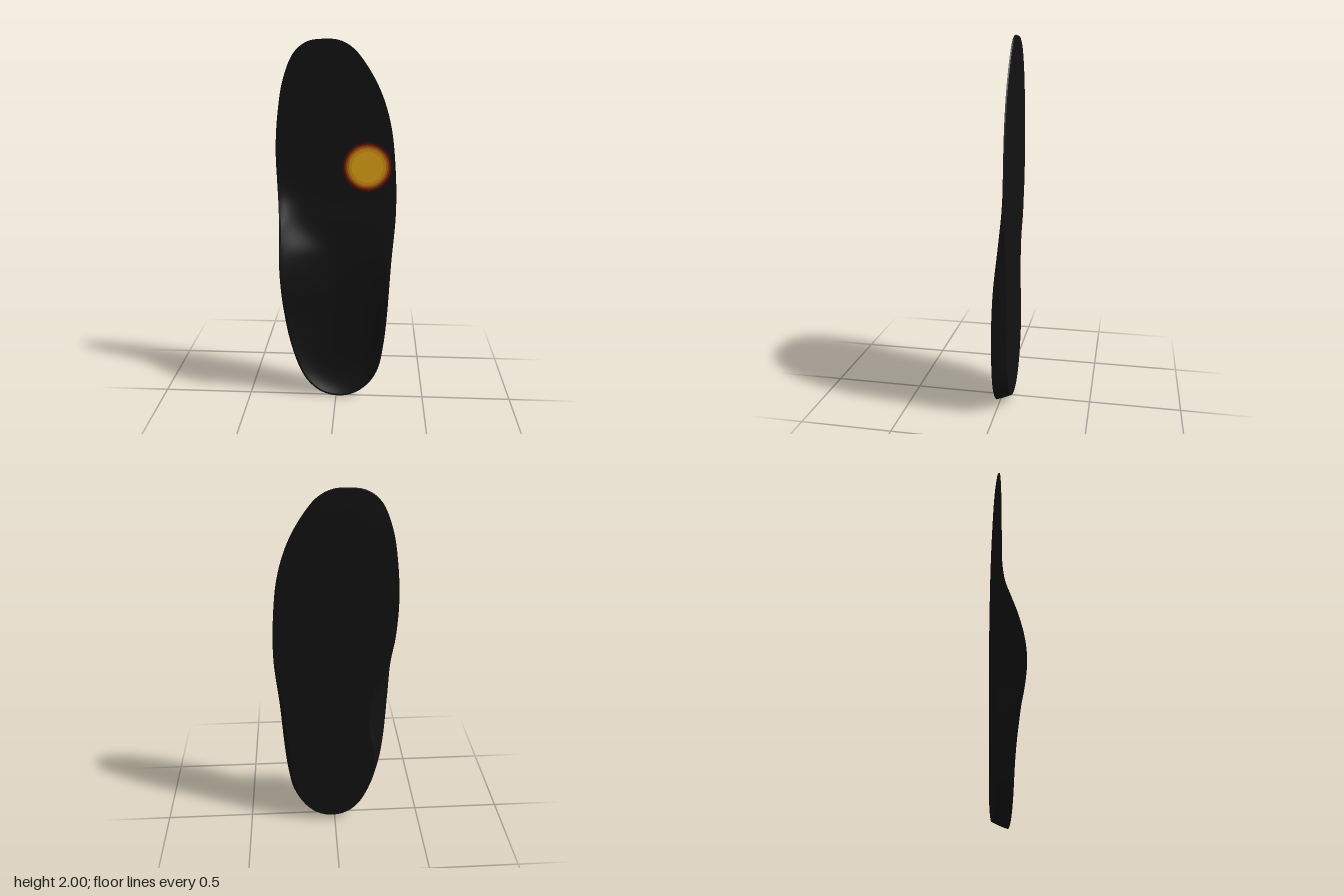
import * as THREE from 'three';
import { toCreasedNormals } from 'three/addons/utils/BufferGeometryUtils.js';

const BACK = -0.068;

// Smooth curve through [y, value] pairs
function profile(pts) {
  const slope = i => {
    const a = pts[Math.max(i - 1, 0)], b = pts[Math.min(i + 1, pts.length - 1)];
    return (b[1] - a[1]) / (b[0] - a[0]);
  };
  return y => {
    let i = 0;
    while (i < pts.length - 2 && y > pts[i + 1][0]) i++;
    const [y0, v0] = pts[i], [y1, v1] = pts[i + 1], d = y1 - y0;
    const t = THREE.MathUtils.clamp((y - y0) / d, 0, 1), t2 = t * t, t3 = t2 * t;
    return v0 * (2 * t3 - 3 * t2 + 1) + slope(i) * d * (t3 - 2 * t2 + t)
      + v1 * (3 * t2 - 2 * t3) + slope(i + 1) * d * (t3 - t2);
  };
}

// Rim height on the arch side and the outer side, and height of the foot bed
const archRim = profile([[0, 0.012], [0.28, 0.015], [0.5, 0.036], [0.63, 0.058], [0.75, 0.068], [0.87, 0.057],
  [1, 0.025], [1.1, -0.012], [1.18, -0.042], [1.28, -0.057], [1.4, -0.0605], [2, -0.061]]);
const outerRim = profile([[0, 0.012], [0.35, 0.011], [0.55, 0.006], [0.75, -0.007], [0.95, -0.032],
  [1.1, -0.05], [1.2, -0.058], [1.3, -0.0605], [2, -0.061]]);
const bed = profile([[0, -0.04], [0.5, -0.038], [0.8, -0.038], [1, -0.047], [1.2, -0.06], [1.4, -0.061], [2, -0.061]]);

// Outline, counter-clockwise from the heel
const outline = new THREE.CatmullRomCurve3([
  [0.02, 0], [0.11, 0.023], [0.19, 0.09], [0.24, 0.18], [0.27, 0.34], [0.285, 0.5], [0.302, 0.8], [0.323, 1.1],
  [0.314, 1.35], [0.285, 1.57], [0.23, 1.74], [0.15, 1.88], [0.08, 1.96], [0.01, 1.995], [-0.07, 2], [-0.15, 1.988],
  [-0.22, 1.935], [-0.28, 1.8], [-0.315, 1.6], [-0.327, 1.42], [-0.322, 1.25], [-0.308, 1.03], [-0.306, 0.8],
  [-0.29, 0.55], [-0.26, 0.35], [-0.21, 0.18], [-0.16, 0.09], [-0.08, 0.022],
].map(([x, y]) => new THREE.Vector3(x, y, 0)), true);

// Each column runs from the spine over the foot bed to the rim, down the wall and back under the sole
function column(p) {
  const qy = THREE.MathUtils.clamp(p.y, 0.25, 1.7);
  const q = new THREE.Vector3(0.02 - 0.055 * (qy - 0.25), qy, 0);
  const rim = p.x < 0.02 ? archRim(p.y) : outerRim(p.y);
  const floor = bed(qy), h = rim - BACK;
  const arch = THREE.MathUtils.smoothstep(h, 0.08, 0.13);
  const inset = h * (0.4 + 0.4 * arch) / p.distanceTo(q);
  const power = 3.5 - 2 * arch;
  const at = (f, z) => [q.x + (p.x - q.x) * f, q.y + (p.y - q.y) * f, z];
  const col = [];
  for (let j = 0; j <= 14; j++) {
    const f = j / 14 * 0.96;
    col.push(at(f, floor + (rim - floor) * Math.pow(j / 14, power)));
  }
  col.push(at(1, rim));
  for (const t of [0.33, 0.67, 1]) {
    col.push(at(1 - inset * (0.7 * t + 0.3 * t * t), rim - h * t));
  }
  for (const f of [0.66, 0.33, 0]) col.push(at((1 - inset) * f, BACK));
  return col;
}

function insoleGeometry() {
  const count = 180, position = [], index = [];
  let rows = 0;
  for (let i = 0; i < count; i++) {
    const col = column(outline.getPointAt(i / count));
    rows = col.length;
    position.push(...col.flat());
  }
  for (let i = 0; i < count; i++) {
    for (let j = 0; j < rows - 1; j++) {
      const a = i * rows + j, d = ((i + 1) % count) * rows + j;
      index.push(a, a + 1, d + 1, a, d + 1, d);
    }
  }
  const g = new THREE.BufferGeometry();
  g.setAttribute('position', new THREE.Float32BufferAttribute(position, 3));
  g.setIndex(index);
  return toCreasedNormals(g, 0.55);
}

export function createModel() {
  const model = new THREE.Group();
  model.name = 'insole';

  const body = new THREE.Mesh(insoleGeometry(), new THREE.MeshStandardMaterial({ color: 0x111111 }));
  body.name = 'insoleBody';
  model.add(body);

  // Round glowing pad mark under the ball of the foot, in rings that follow the surface
  const mark = new THREE.Group();
  mark.name = 'ballMark';
  const rings = [[0, 0.085, 0xd9a012], [0.085, 0.1, 0xd08c12], [0.1, 0.11, 0xb8640f],
    [0.11, 0.118, 0x8f3a0c], [0.118, 0.127, 0x5c1a0a], [0.127, 0.137, 0x2c0e0a]];
  rings.forEach(([inner, outer, color], i) => {
    const g = new THREE.RingGeometry(inner, outer, 48, 4);
    g.translate(0.165, 1.34, 0);
    const pos = g.attributes.position;
    for (let k = 0; k < pos.count; k++) pos.setZ(k, outerRim(pos.getY(k)) + 0.0015);
    g.computeVertexNormals();
    const ring = new THREE.Mesh(g, new THREE.MeshStandardMaterial({ color }));
    ring.name = 'markRing' + (i + 1);
    mark.add(ring);
  });
  model.add(mark);
  return model;
}
